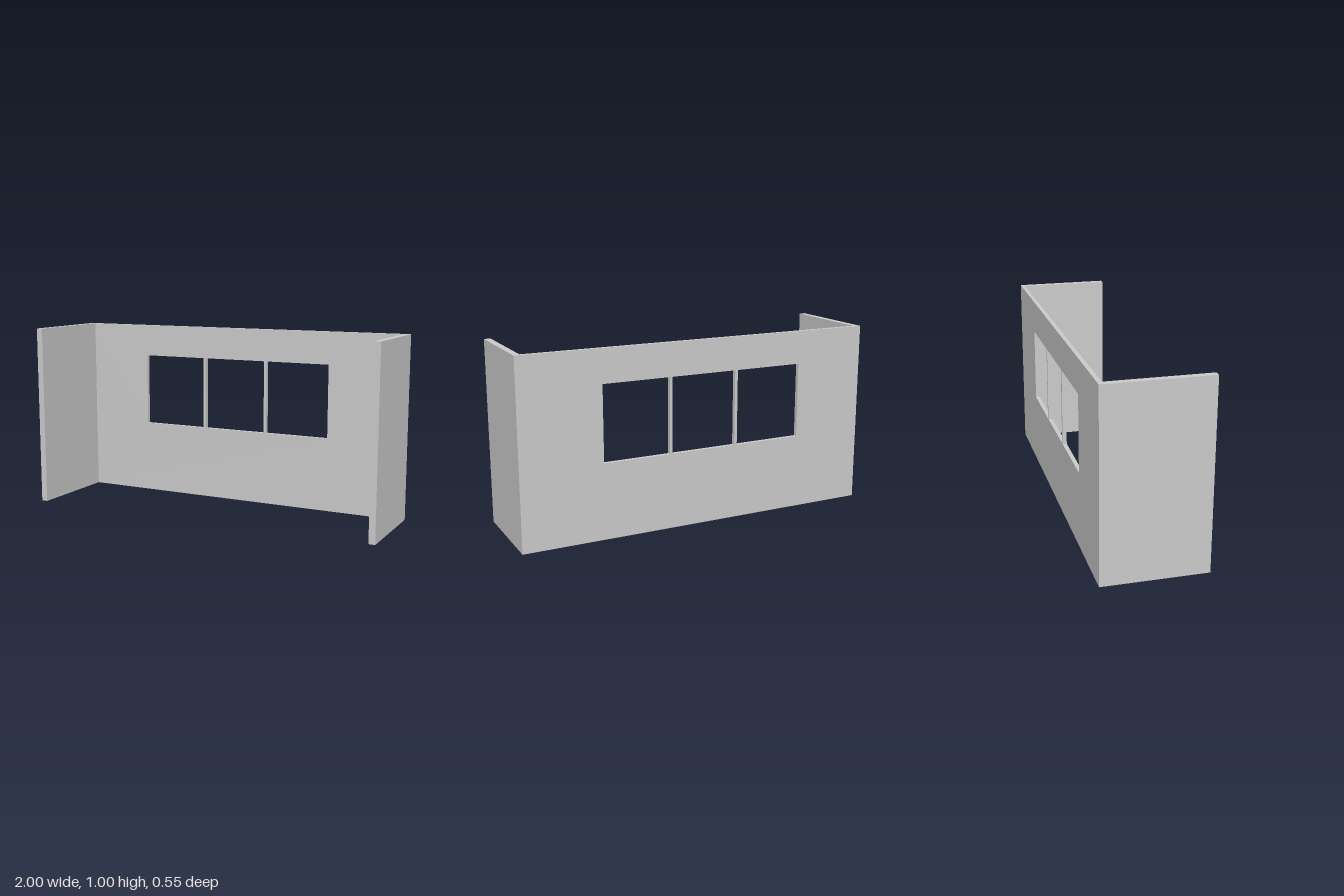
import * as THREE from 'three';

const HEIGHT = 1;
const BACK = -0.276;      // outer face of the back wall
const BACK_THICK = 0.022;
const SIDE_THICK = 0.035;

export function createModel() {
  const model = new THREE.Group();
  const material = new THREE.MeshStandardMaterial({ color: 0xcccccc, flatShading: true });

  const add = (name, geometry, x, y, z) => {
    const mesh = new THREE.Mesh(geometry, material);
    mesh.name = name;
    mesh.position.set(x, y, z);
    model.add(mesh);
  };

  const rectangle = (path, x0, x1, y0, y1) =>
    path.moveTo(x0, y0).lineTo(x1, y0).lineTo(x1, y1).lineTo(x0, y1).closePath();

  // Back wall with three window openings separated by slim mullions
  const wall = rectangle(new THREE.Shape(), -1, 1, 0, HEIGHT);
  for (const [x0, x1] of [[-0.595, -0.214], [-0.198, 0.171], [0.187, 0.556]]) {
    wall.holes.push(rectangle(new THREE.Path(), x0, x1, 0.41, 0.82));
  }
  add('backWall', new THREE.ExtrudeGeometry(wall, { depth: BACK_THICK, bevelEnabled: false }), 0, 0, BACK);

  // Side walls butt against the back wall; the right one reaches further forward
  for (const [name, side, front] of [['leftWall', 1, 0.24], ['rightWall', -1, 0.276]]) {
    const start = BACK + BACK_THICK;
    add(name, new THREE.BoxGeometry(SIDE_THICK, HEIGHT, front - start),
      side * (1 - SIDE_THICK / 2), HEIGHT / 2, (front + start) / 2);
  }

  return model;
}
